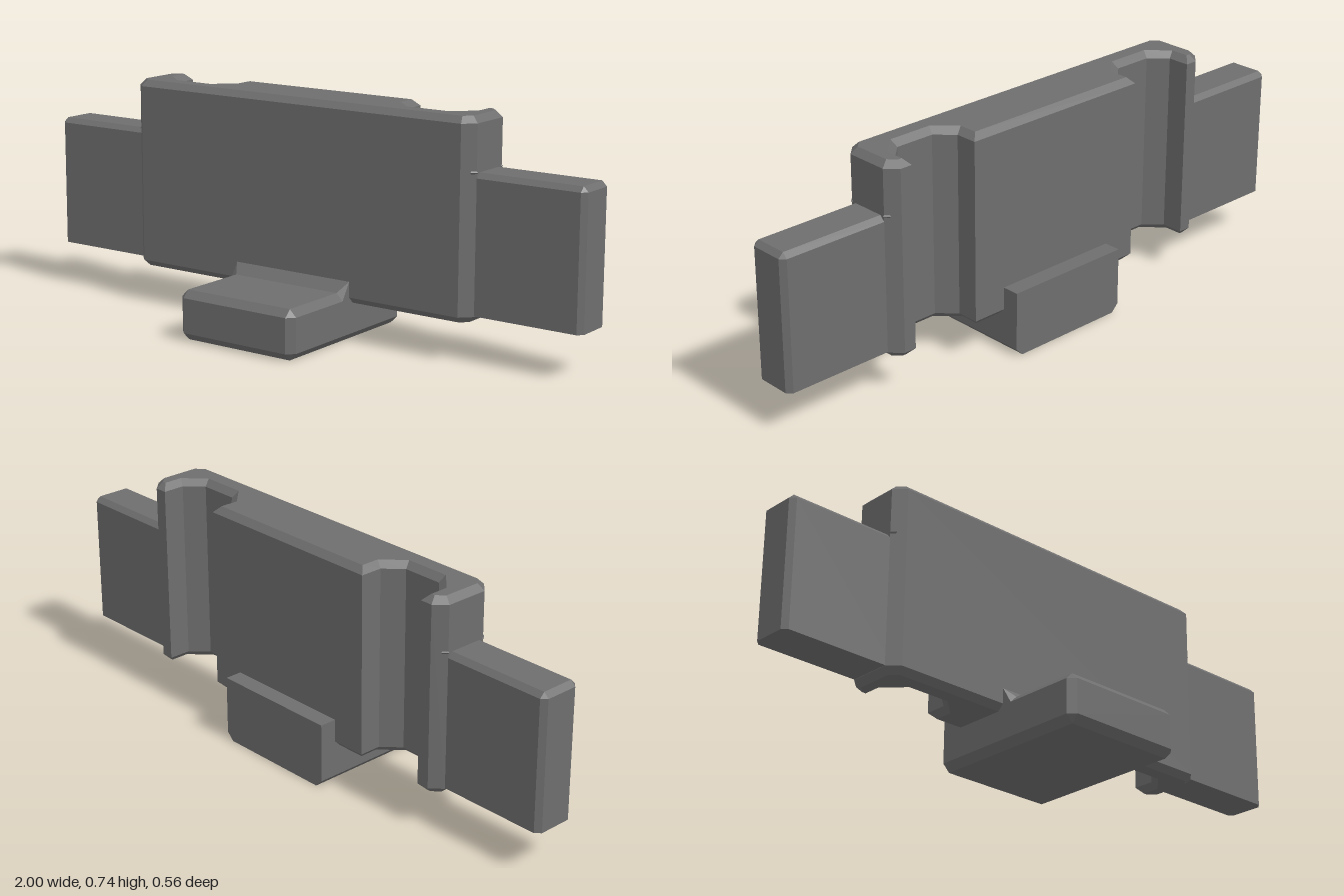
import * as THREE from 'three';

const material = new THREE.MeshStandardMaterial({ color: 0x6e6e6e, flatShading: true });
const midZ = -0.119; // centre plane of the panel and tabs

// Joins convex rings of points (counter-clockwise seen from the last ring) into a closed solid
function loft(rings) {
  const pos = [];
  const tri = (...pts) => pts.forEach((p) => pos.push(...p));
  const n = rings[0].length;
  for (let i = 0; i < rings.length - 1; i++) {
    for (let j = 0; j < n; j++) {
      const k = (j + 1) % n;
      const [a, b, c, d] = [rings[i][j], rings[i][k], rings[i + 1][k], rings[i + 1][j]];
      tri(a, b, c);
      tri(a, c, d);
    }
  }
  const first = rings[0], last = rings[rings.length - 1];
  for (let j = 1; j < n - 1; j++) {
    tri(first[0], first[j + 1], first[j]);
    tri(last[0], last[j], last[j + 1]);
  }
  const geo = new THREE.BufferGeometry();
  geo.setAttribute('position', new THREE.Float32BufferAttribute(pos, 3));
  geo.computeVertexNormals();
  return geo;
}

function part(name, geometry) {
  const mesh = new THREE.Mesh(geometry, material);
  mesh.name = name;
  return mesh;
}

// Chamfered panel with two channels cut into its back; half outline as [x, z]
function panelGeometry() {
  const half = [
    [0.608, -0.014], [0.643, -0.049], [0.643, -0.189], [0.608, -0.224],
    [0.567, -0.224], [0.567, -0.152], [0.515, -0.101], [0.385, -0.101],
    [0.332, -0.152], [0.332, -0.224],
  ];
  const outline = [...half, ...half.map(([x, z]) => [-x, z]).reverse()];
  const shape = new THREE.Shape(outline.map(([x, z]) => new THREE.Vector2(x, -z)));
  const c = 0.02;
  const geo = new THREE.ExtrudeGeometry(shape, {
    depth: 0.618 - 2 * c, bevelEnabled: true, bevelSegments: 1,
    bevelSize: c, bevelThickness: c, bevelOffset: -c,
  });
  return geo.rotateX(-Math.PI / 2).translate(0, 0.12 + c, 0);
}

// Side tab: flat below, chamfered above and at its end
function tabGeometry() {
  const bottom = 0.142;
  const ring = (x, top, w, c) => [
    [x, bottom, midZ + w], [x, bottom, midZ - w], [x, top - c, midZ - w],
    [x, top, midZ - w + c], [x, top, midZ + w - c], [x, top - c, midZ + w],
  ];
  return loft([
    ring(0.61, 0.572, 0.07, 0.016),
    ring(0.984, 0.572, 0.07, 0.016),
    ring(1, 0.556, 0.054, 0),
  ]);
}

// Tab with the small facets where its top corners meet the panel
function createTab(name) {
  const tab = new THREE.Group();
  tab.name = name;
  tab.add(part('tabBlock', tabGeometry()));
  for (const side of [-1, 1]) {
    const facet = part('cornerFacet', new THREE.OctahedronGeometry(0.016));
    facet.position.set(0.631, 0.573, midZ + side * 0.07);
    tab.add(facet);
  }
  return tab;
}

// Foot: runs front to back, with a ramp up to the panel
function footGeometry() {
  const ring = (z, w, y0, y1, cLow, cTop) => [
    [-w + cLow, y0, z], [w - cLow, y0, z], [w, y0 + cLow, z], [w, y1 - cTop, z],
    [w - cTop, y1, z], [-w + cTop, y1, z], [-w, y1 - cTop, z], [-w, y0 + cLow, z],
  ];
  return loft([
    ring(-0.28, 0.218, 0, 0.213, 0.024, 0),
    ring(-0.05, 0.218, 0, 0.213, 0.024, 0),
    ring(-0.014, 0.218, 0, 0.19, 0.024, 0),
    ring(0.02, 0.218, 0, 0.158, 0.024, 0.023),
    ring(0.257, 0.218, 0, 0.158, 0.024, 0.023),
    ring(0.28, 0.195, 0.024, 0.135, 0, 0),
  ]);
}

export function createModel() {
  const model = new THREE.Group();
  model.name = 'panelOnFoot';
  const leftTab = createTab('leftTab');
  const rightTab = createTab('rightTab');
  // Half turn about the panel's centre line
  rightTab.rotation.y = Math.PI;
  rightTab.position.z = 2 * midZ;
  model.add(part('panel', panelGeometry()), part('foot', footGeometry()), leftTab, rightTab);
  return model;
}
